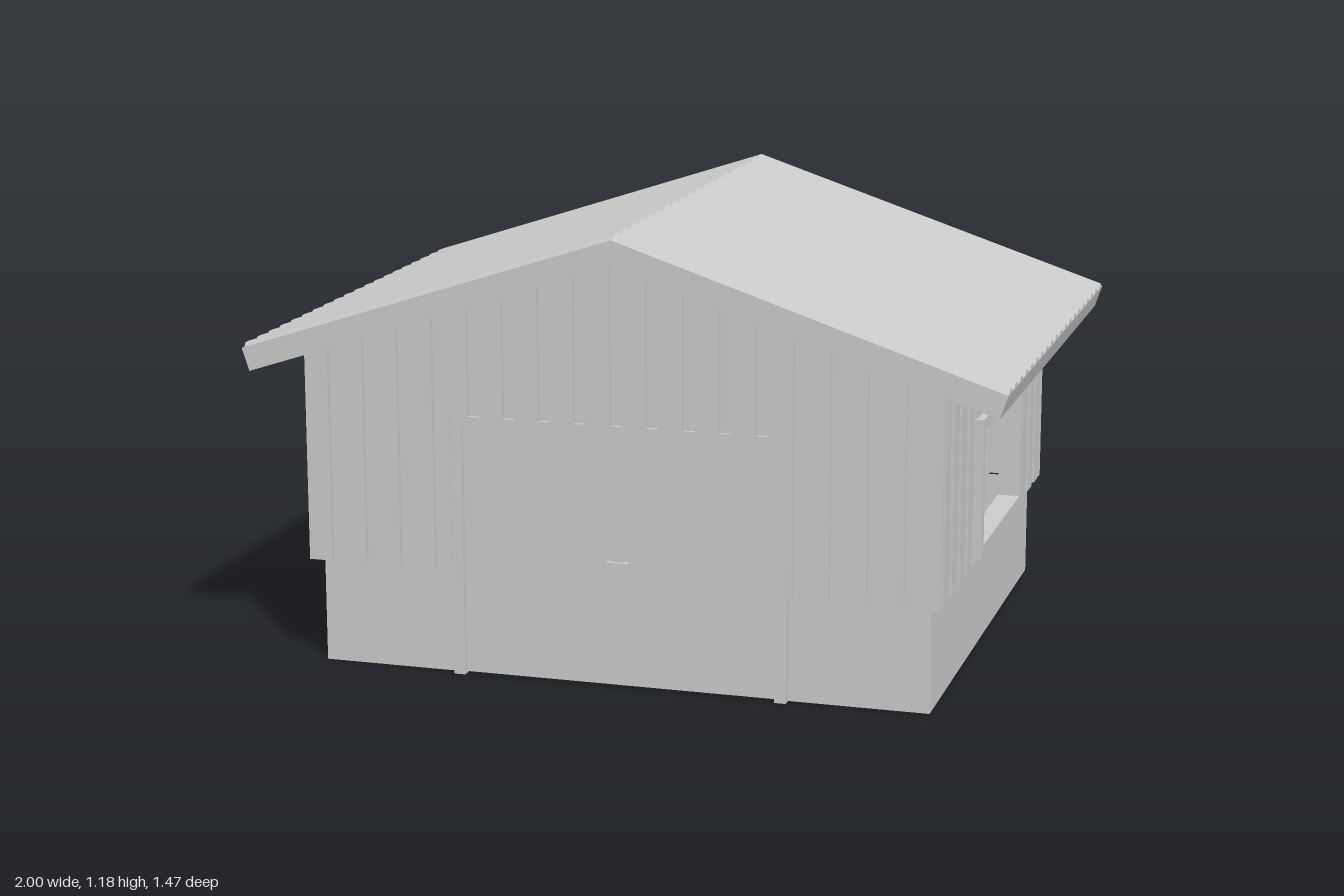
import * as THREE from 'three';

const grey = new THREE.MeshStandardMaterial({ color: 0xcccccc, flatShading: true });
const thin = new THREE.MeshStandardMaterial({ color: 0xcccccc, flatShading: true, side: THREE.DoubleSide });

const SLOPE = 0.33, RIDGE = 1.168, THICK = 0.06;
const ROOF_Z = 0.735, WALL_X = 0.81, WALL_Z = 0.675, BASE_Y = 0.28;
const BOARD = 0.063, LAYER = 0.015;
const underside = x => 1.105 - SLOPE * Math.abs(x);

function add(parent, name, geometry, material = grey) {
  const mesh = new THREE.Mesh(geometry, material);
  mesh.name = name;
  parent.add(mesh);
  return mesh;
}

function box(parent, name, x0, x1, y0, y1, z0, z1) {
  const g = new THREE.BoxGeometry(x1 - x0, y1 - y0, z1 - z0);
  g.translate((x0 + x1) / 2, (y0 + y1) / 2, (z0 + z1) / 2);
  return add(parent, name, g);
}

function extrude(points, depth, holes = []) {
  const shape = new THREE.Shape(points.map(p => new THREE.Vector2(...p)));
  for (const h of holes) shape.holes.push(new THREE.Path(h.map(p => new THREE.Vector2(...p))));
  return new THREE.ExtrudeGeometry(shape, { depth, bevelEnabled: false });
}

const rect = (x0, x1, y0, y1) => [[x0, y0], [x1, y0], [x1, y1], [x0, y1]];

// One upright board whose top follows the roof line
function board(parent, a, b, y0, top, z) {
  const pts = [[a, y0], [b, y0], [b, top(b)]];
  if (a < 0 && b > 0) pts.push([0, top(0)]);
  pts.push([a, top(a)]);
  add(parent, 'claddingBoard', extrude(pts, LAYER)).position.z = z;
}

// Board cut around a rectangular opening
function cutBoard(parent, a, b, top, z, hole) {
  if (!hole) return board(parent, a, b, BASE_Y, top, z);
  const { x, y0, y1 } = hole;
  if (a < -x) board(parent, a, Math.min(b, -x), BASE_Y, top, z);
  if (b > x) board(parent, Math.max(a, x), b, BASE_Y, top, z);
  const l = Math.max(a, -x), r = Math.min(b, x);
  if (r - l < 1e-4) return;
  board(parent, l, r, y1, top, z);
  if (y0 > BASE_Y) board(parent, l, r, BASE_Y, () => y0, z);
}

// Two overlapping layers: outer boards, with inner boards behind the gaps
function cladding(parent, half, count, top, z, hole) {
  const step = (2 * half - BOARD) / (count - 1);
  for (let i = 0; i < count; i++) {
    const a = -half + i * step;
    cutBoard(parent, a, a + BOARD, top, z + LAYER, hole);
    if (i < count - 1) cutBoard(parent, a + step / 2, a + step / 2 + BOARD, top, z, hole);
  }
}

function wall(parent, name, angle) {
  const g = new THREE.Group();
  g.name = name;
  g.rotation.y = angle;
  parent.add(g);
  return g;
}

// Plinth panel, open underneath and inside
function plinth(parent, x0, x1, z) {
  const g = new THREE.PlaneGeometry(x1 - x0, BASE_Y);
  g.translate((x0 + x1) / 2, BASE_Y / 2, z);
  add(parent, 'plinth', g, thin);
}

// Trapezoid-ribbed sheet lying on one roof slope
function roofSheet(side) {
  const ribs = 20, pitch = 2 * ROOF_Z / ribs, pts = [[-ROOF_Z, 0], [ROOF_Z, 0], [ROOF_Z, 0.003]];
  for (let i = ribs - 1; i >= 0; i--) {
    const c = -ROOF_Z + (i + 0.5) * pitch;
    pts.push([c + 0.021, 0.003], [c + 0.013, 0.013], [c - 0.013, 0.013], [c - 0.021, 0.003]);
  }
  pts.push([-ROOF_Z, 0.003]);
  const g = extrude(pts, 1);
  const p = g.attributes.position;
  for (let i = 0; i < p.count; i++) {
    const across = p.getX(i), h = p.getY(i), d = p.getZ(i);
    p.setXYZ(i, side * d, RIDGE - SLOPE * d + h, -side * across);
  }
  g.computeVertexNormals();
  return g;
}

export function createModel() {
  const model = new THREE.Group();
  model.name = 'shed';

  // Gable walls
  const front = wall(model, 'frontWall', 0);
  cladding(front, 0.84, 18, underside, WALL_Z, { x: 0.445, y0: 0, y1: 0.69 });
  plinth(front, -WALL_X, -0.44, WALL_Z);
  plinth(front, 0.44, WALL_X, WALL_Z);
  const back = wall(model, 'backWall', Math.PI);
  cladding(back, 0.84, 18, underside, WALL_Z);
  plinth(back, -WALL_X, WALL_X, WALL_Z);

  // Side walls with framed window openings
  for (const s of [1, -1]) {
    const w = wall(model, s > 0 ? 'leftWall' : 'rightWall', s * Math.PI / 2);
    cladding(w, 0.672, 14, () => 0.828, WALL_X, { x: 0.275, y0: 0.315, y1: 0.655 });
    plinth(w, -WALL_Z, WALL_Z, WALL_X);
    const frame = extrude(rect(-0.29, 0.29, 0.3, 0.67), 0.06, [rect(-0.26, 0.26, 0.33, 0.64)]);
    add(w, 'windowFrame', frame).position.z = 0.8;
  }

  // Door, frame and handle
  const door = new THREE.Group();
  door.name = 'door';
  model.add(door);
  box(door, 'doorPanel', -0.415, 0.415, 0.005, 0.667, 0.665, 0.685);
  box(door, 'doorHeader', -0.445, 0.445, 0.665, 0.69, 0.66, 0.7);
  for (const s of [1, -1]) box(door, 'doorPost', s * 0.43 - 0.015, s * 0.43 + 0.015, 0, 0.665, 0.66, 0.7);
  box(door, 'doorHandle', -0.03, 0.03, 0.326, 0.334, 0.693, 0.701);
  for (const x of [-0.022, 0.022]) box(door, 'handleMount', x - 0.004, x + 0.004, 0.326, 0.334, 0.685, 0.693);

  // Roof slab with square-cut eaves
  const k = Math.hypot(1, SLOPE), ex = 1 - THICK * SLOPE / k, ey = RIDGE - SLOPE - THICK / k;
  const slab = extrude([
    [0, RIDGE], [-1, RIDGE - SLOPE], [-ex, ey], [0, RIDGE - THICK * k], [ex, ey], [1, RIDGE - SLOPE],
  ], 2 * ROOF_Z);
  add(model, 'roofSlab', slab).position.z = -ROOF_Z;
  for (const s of [1, -1]) add(model, 'roofSheet', roofSheet(s));

  return model;
}
